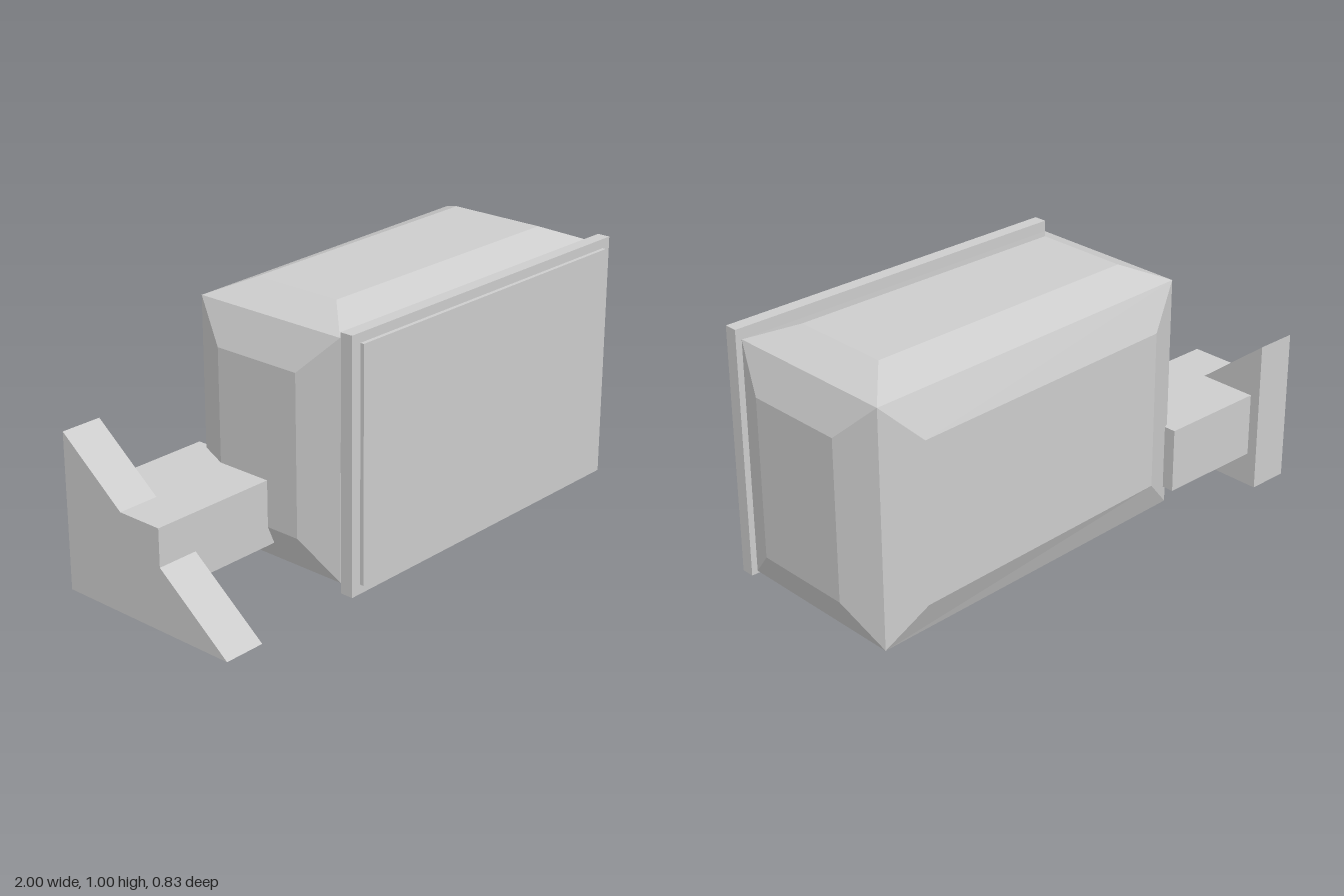
import * as THREE from 'three';

const gray = new THREE.MeshStandardMaterial({ color: 0xcccccc });
gray.name = 'lightGray';
gray.flatShading = true;

// Box from its low and high limits on each axis
function box(name, [x0, x1], [y0, y1], [z0, z1]) {
  const geometry = new THREE.BoxGeometry(x1 - x0, y1 - y0, z1 - z0);
  geometry.translate((x0 + x1) / 2, (y0 + y1) / 2, (z0 + z1) / 2);
  const mesh = new THREE.Mesh(geometry, gray);
  mesh.name = name;
  return mesh;
}

// Box whose six faces each rise through sloped borders to a flat, inset panel
function paneledBox() {
  const center = [0.25, 0.5, 0];
  const corner = [0.69, 0.44, 0.33];
  const inset = [0.55, 0.3, 0.187];
  const raised = [0.75, 0.5, 0.39];
  const positions = [];

  const point = (p) => {
    const q = p.map((value, i) => value + center[i]);
    // The back slants away towards the left side
    if (q[2] < 0) q[2] *= 1 + 0.11 * p[0];
    return q;
  };
  const quad = (a, b, c, d) => positions.push(...a, ...b, ...c, ...a, ...c, ...d);

  for (let axis = 0; axis < 3; axis++) {
    const u = (axis + 1) % 3, v = (axis + 2) % 3;
    for (const side of [1, -1]) {
      const signs = [[-1, -1], [1, -1], [1, 1], [-1, 1]];
      if (side < 0) signs.reverse();
      const ring = (depth, size) => signs.map(([a, b]) => {
        const p = [0, 0, 0];
        p[axis] = side * depth[axis];
        p[u] = a * size[u];
        p[v] = b * size[v];
        return point(p);
      });
      const outer = ring(corner, corner);
      const inner = ring(raised, inset);
      quad(...inner);
      for (let k = 0; k < 4; k++) {
        const n = (k + 1) % 4;
        quad(outer[k], outer[n], inner[n], inner[k]);
      }
    }
  }
  const geometry = new THREE.BufferGeometry();
  geometry.setAttribute('position', new THREE.Float32BufferAttribute(positions, 3));
  geometry.computeVertexNormals();
  return geometry;
}

export function createModel() {
  const model = new THREE.Group();
  model.name = 'model';

  // Main housing
  const housing = new THREE.Mesh(paneledBox(), gray);
  housing.name = 'housing';
  model.add(housing);

  // Front plate and its thinner raised panel
  model.add(box('frontPlate', [-0.46, 0.95], [0.035, 0.97], [0.35, 0.4]));
  model.add(box('frontPanel', [-0.42, 0.91], [0.07, 0.935], [0.4, 0.415]));

  // Side arm
  model.add(box('arm', [-1, -0.42], [0.13, 0.375], [-0.36, 0.05]));

  // Triangular wedge at the end of the arm, drawn in (-z, y) and extruded along x
  const triangle = new THREE.Shape();
  triangle.moveTo(-0.35, 0);
  triangle.lineTo(0.4, 0);
  triangle.lineTo(0.4, 0.585);
  triangle.closePath();
  const wedgeGeometry = new THREE.ExtrudeGeometry(triangle, { depth: 0.16, bevelEnabled: false });
  wedgeGeometry.rotateY(Math.PI / 2);
  wedgeGeometry.translate(-1, 0, 0);
  const wedge = new THREE.Mesh(wedgeGeometry, gray);
  wedge.name = 'wedge';
  model.add(wedge);

  return model;
}
